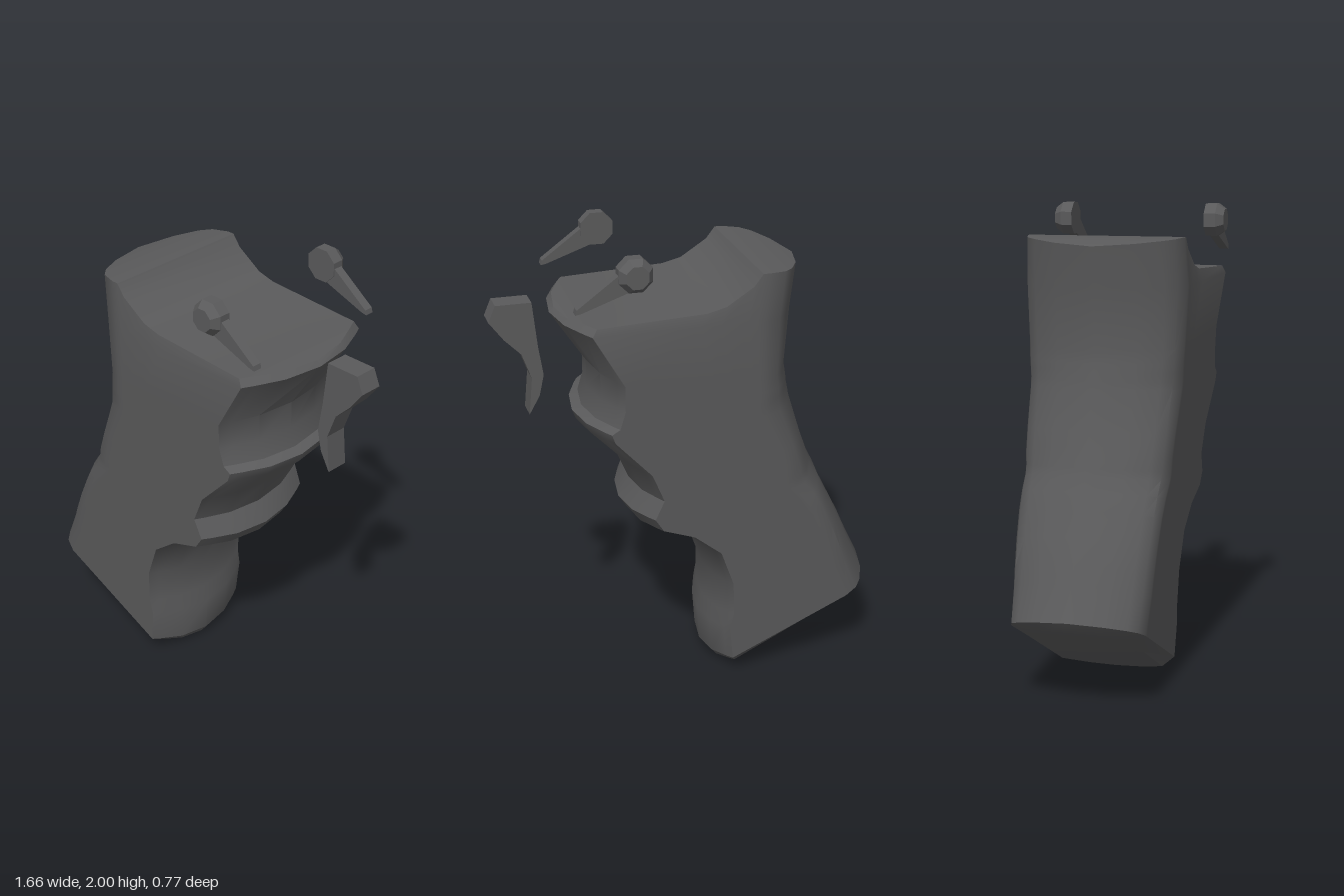
import * as THREE from 'three';
import { toCreasedNormals } from 'three/addons/utils/BufferGeometryUtils.js';

// Half outline of the grip: [fraction from back to front, fraction of half width]
const OUTLINE = [[0, 0], [0.04, 0.5], [0.09, 0.8], [0.13, 0.93], [0.2, 1], [0.23, 1], [0.267, 1],
  [0.38, 1], [0.46, 1], [0.9, 1], [0.925, 0.85], [0.975, 0.5], [1, 0]];

// Tilted sections from heel to top: [back x, back y, front x, front y]
const SECTIONS = [
  [-0.80, 0.345, -0.11, 0.0], [-0.83, 0.385, -0.08, 0.04], [-0.76, 0.53, -0.07, 0.2],
  [-0.73, 0.60, -0.09, 0.27], [-0.68, 0.70, -0.09, 0.43], [-0.63, 0.80, -0.03, 0.60],
  [-0.60, 0.87, 0.10, 0.70], [-0.57, 0.93, 0.25, 0.75], [-0.56, 0.96, 0.29, 0.81],
  [-0.54, 1.01, 0.245, 0.90], [-0.51, 1.10, 0.30, 1.03], [-0.46, 1.27, 0.47, 1.20],
  [-0.455, 1.30, 0.485, 1.24], [-0.445, 1.34, 0.445, 1.26], [-0.44, 1.37, 0.42, 1.34],
  [-0.43, 1.42, 0.42, 1.46], [-0.455, 1.68, 0.57, 1.685], [-0.48, 1.85, 0.55, 1.71],
];

// Heights of the raised back and lower deck along the top outline
const TOP_Y = [1.85, 1.86, 1.87, 1.875, 1.88, 1.88, 1.83, 1.755, 1.735, 1.715, 1.715, 1.71, 1.705];

function sectionLoop([xb, yb, xf, yf], index) {
  const last = SECTIONS.length - 1;
  const half = OUTLINE.map(([t, zf], k) => {
    const y = index === last ? TOP_Y[k] : yb + (yf - yb) * t;
    let w = 0.27 + 0.045 * Math.min(y, 1.69);
    if (index === 0) w = 0.225;
    if (index === last) w = 0.335;
    return [xb + (xf - xb) * t, y, w * zf];
  });
  const mirrored = half.slice(1, -1).reverse().map(([x, y, z]) => [x, y, -z]);
  return [...half, ...mirrored];
}

function gripGeometry() {
  const loops = SECTIONS.map(sectionLoop);
  const n = loops[0].length;
  const pos = [];
  const quad = (a, b, c, d) => pos.push(...a, ...b, ...c, ...a, ...c, ...d);
  // Walls
  for (let s = 0; s < loops.length - 1; s++) {
    for (let i = 0; i < n; i++) {
      const j = (i + 1) % n;
      quad(loops[s][i], loops[s][j], loops[s + 1][j], loops[s + 1][i]);
    }
  }
  // Top deck and heel, as strips between mirrored points
  const top = loops[loops.length - 1], heel = loops[0];
  for (let k = 0; k < OUTLINE.length - 1; k++) {
    const mk = (n - k) % n, mk1 = n - k - 1;
    quad(top[k], top[k + 1], top[mk1], top[mk]);
    quad(heel[mk], heel[mk1], heel[k + 1], heel[k]);
  }
  const geo = new THREE.BufferGeometry();
  geo.setAttribute('position', new THREE.Float32BufferAttribute(pos, 3));
  return toCreasedNormals(geo, 0.6);
}

function plate(points, depth, z) {
  const shape = new THREE.Shape(points.map(([x, y]) => new THREE.Vector2(x, y)));
  return new THREE.ExtrudeGeometry(shape, { depth, bevelEnabled: false }).translate(0, 0, z);
}

export function createModel() {
  const model = new THREE.Group();
  model.name = 'pistolGrip';
  const gunmetal = new THREE.MeshStandardMaterial({ color: 0x5a5a5b });
  gunmetal.name = 'dark grey';

  const add = (name, geometry, parent = model) => {
    const mesh = new THREE.Mesh(geometry, gunmetal);
    mesh.name = name;
    parent.add(mesh);
    return mesh;
  };

  add('grip', gripGeometry());

  // Curved trigger
  add('trigger', plate([[0.65, 1.75], [0.63, 1.56], [0.61, 1.43], [0.63, 1.34], [0.675, 1.26],
    [0.66, 1.42], [0.70, 1.53], [0.77, 1.60], [0.83, 1.68], [0.80, 1.75]], 0.1, -0.05));

  // Selector lever on each side, with a chamfered octagonal hub
  for (const side of [1, -1]) {
    const lever = new THREE.Group();
    lever.name = side > 0 ? 'leftSelector' : 'rightSelector';
    const place = (r1, r2, z0, z1) => toCreasedNormals(
      new THREE.CylinderGeometry(r2, r1, z1 - z0, 8).rotateY(Math.PI / 8)
        .rotateX(side * Math.PI / 2).translate(0.29, 1.927, side * (z0 + z1) / 2), 0.3);
    add('selectorHub', place(0.075, 0.075, 0.30, 0.35), lever);
    add('selectorHubCap', place(0.075, 0.05, 0.35, 0.383), lever);
    add('selectorArm', plate([[0.27, 1.875], [0.51, 1.79], [0.535, 1.785], [0.53, 1.805],
      [0.36, 1.93], [0.30, 1.95]], 0.04, side > 0 ? 0.305 : -0.345), lever);
    model.add(lever);
  }
  return model;
}
